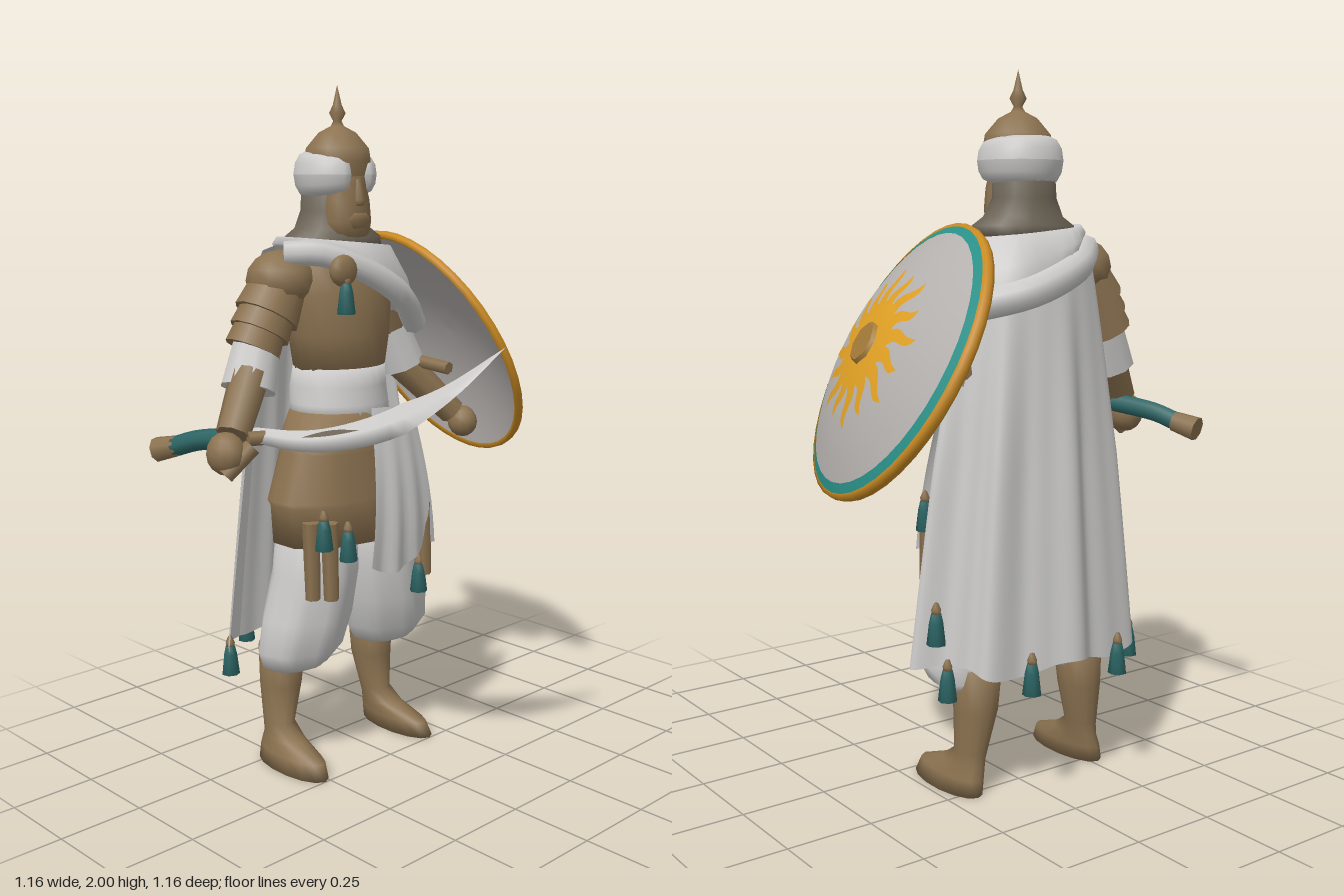
import * as THREE from 'three';

const V = (p) => new THREE.Vector3(...p);
const mat = (name, color) => {
  const m = new THREE.MeshStandardMaterial({ color, side: THREE.DoubleSide });
  m.name = name;
  return m;
};

export function createModel() {
  const brown = mat('leather brown', 0x8b7250);
  const cloth = mat('pale grey', 0xcbcac9);
  const mail = mat('grey mail', 0x6c6456);
  const steel = mat('shield grey', 0xb6b2af);
  const gold = mat('gold', 0xe0a024);
  const rimGold = mat('rim gold', 0xc98a22);
  const teal = mat('bright teal', 0x2a9088);
  const darkTeal = mat('dark teal', 0x2c6464);
  const bronze = mat('bronze', 0xa47a38);

  const model = new THREE.Group();
  model.name = 'warrior';
  const add = (name, geo, m, parent = model) => {
    const mesh = new THREE.Mesh(geo, m);
    mesh.name = name;
    parent.add(mesh);
    return mesh;
  };
  const build = (pos, idx) => {
    const g = new THREE.BufferGeometry();
    g.setAttribute('position', new THREE.Float32BufferAttribute(pos, 3));
    g.setIndex(idx);
    g.computeVertexNormals();
    return g;
  };

  // Closed elliptical rings, top to bottom: [cx, y, cz, rx, rz, fold depth, sideways tilt]
  const loft = (name, m, rings, seg = 20, folds = 8, parent = model) => {
    const pos = [], idx = [], n = rings.length;
    for (const [cx, y, cz, rx, rz, amp = 0, tilt = 0] of rings)
      for (let j = 0; j < seg; j++) {
        const a = (j / seg) * Math.PI * 2, r = 1 + amp * Math.cos(folds * a);
        const x = rx * r * Math.sin(a);
        pos.push(cx + x, y - tilt * x, cz + rz * r * Math.cos(a));
      }
    for (let i = 0; i < n - 1; i++)
      for (let j = 0; j < seg; j++) {
        const k = (j + 1) % seg, a = i * seg + j, d = i * seg + k;
        idx.push(a, a + seg, d + seg, a, d + seg, d);
      }
    const c = n * seg, last = rings[n - 1];
    pos.push(...rings[0].slice(0, 3), ...last.slice(0, 3));
    for (let j = 0; j < seg; j++) {
      const k = (j + 1) % seg, b = (n - 1) * seg;
      idx.push(c, j, k, c + 1, b + k, b + j);
    }
    return add(name, build(pos, idx), m, parent);
  };

  // Open sheet from a function of u and v
  const sheet = (name, m, nu, nv, f, parent = model) => {
    const pos = [], idx = [];
    for (let i = 0; i <= nv; i++) for (let j = 0; j <= nu; j++) pos.push(...f(j / nu, i / nv));
    for (let i = 0; i < nv; i++)
      for (let j = 0; j < nu; j++) {
        const a = i * (nu + 1) + j, b = a + nu + 1;
        idx.push(a, b, b + 1, a, b + 1, a + 1);
      }
    return add(name, build(pos, idx), m, parent);
  };

  const rod = (name, m, p, q, rp, rq, seg = 10) => {
    const a = V(p), d = V(q).sub(a);
    const mesh = add(name, new THREE.CylinderGeometry(rq, rp, d.length(), seg), m);
    mesh.position.copy(a).addScaledVector(d, 0.5);
    mesh.quaternion.setFromUnitVectors(V([0, 1, 0]), d.normalize());
    return mesh;
  };
  const ball = (name, m, p, s) => {
    const mesh = add(name, new THREE.SphereGeometry(1, 12, 8), m);
    mesh.position.set(...p);
    mesh.scale.set(...s);
    return mesh;
  };
  const tube = (name, m, pts, r) => add(name,
    new THREE.TubeGeometry(new THREE.CatmullRomCurve3(pts.map(V)), 16, r, 8), m);

  // Boots and baggy trousers
  for (const [side, c, p, out] of [['right', -0.232, -0.17, -1], ['left', 0.138, 0.088, 1]]) {
    loft(side + 'Boot', brown, [
      [c, 0.36, -0.232, 0.067, 0.078], [c + out * 0.005, 0.24, -0.235, 0.06, 0.068],
      [c + out * 0.018, 0.12, -0.23, 0.044, 0.052], [c + out * 0.022, 0.08, -0.2, 0.046, 0.082],
      [c + out * 0.03, 0.045, -0.155, 0.052, 0.135], [c + out * 0.036, 0, -0.145, 0.057, 0.145]], 14);
    loft(side + 'Trouser', cloth, [
      [p + out * -0.01, 0.78, -0.15, 0.115, 0.12], [p, 0.6, -0.15, 0.13, 0.125, 0.03],
      [p + out * 0.03, 0.47, -0.155, 0.138, 0.122, 0.045], [p + out * 0.05, 0.37, -0.165, 0.132, 0.11, 0.05],
      [p + out * 0.055, 0.32, -0.18, 0.105, 0.09, 0.04], [p + out * 0.06, 0.3, -0.2, 0.07, 0.07]], 28, 7);
  }

  // Torso, sash and layered skirt
  loft('chest', brown, [
    [-0.06, 1.56, -0.18, 0.08, 0.07], [-0.06, 1.52, -0.18, 0.17, 0.11], [-0.06, 1.42, -0.17, 0.185, 0.14],
    [-0.055, 1.3, -0.16, 0.16, 0.135], [-0.055, 1.18, -0.16, 0.142, 0.12]]);
  loft('sash', cloth, [
    [-0.056, 1.205, -0.16, 0.143, 0.128], [-0.06, 1.15, -0.16, 0.148, 0.135, 0.015],
    [-0.062, 1.1, -0.155, 0.153, 0.138], [-0.064, 1.05, -0.15, 0.157, 0.14]], 24, 6);
  loft('skirt', brown, [
    [-0.065, 1.08, -0.15, 0.155, 0.135], [-0.065, 0.98, -0.145, 0.212, 0.15], [-0.065, 0.965, -0.145, 0.204, 0.144],
    [-0.06, 0.83, -0.14, 0.262, 0.155, 0.02], [-0.06, 0.815, -0.14, 0.252, 0.148, 0.02],
    [-0.06, 0.7, -0.135, 0.245, 0.15, 0.03]], 30, 10);
  sheet('tabard', cloth, 16, 10, (u, v) => {
    const s = u - 0.5, fold = 0.008 * v * Math.cos(u * 19);
    return [0.015 + 0.025 * v + s * (0.165 + 0.1 * v), 1.09 - 0.47 * v - 0.03 * Math.sin(u * 5) * v,
      0.006 + 0.03 * Math.sin(v * 2.4) - s * s * 0.07 + fold];
  });
  for (const [x, z] of [[-0.27, -0.05], [-0.235, -0.01], [0.14, 0], [0.195, -0.13]])
    rod('hangingStrap', brown, [x, 0.78, z], [x + 0.005, 0.55, z], 0.026, 0.022, 6);

  // Cape with deep vertical folds, fuller on the left
  sheet('cape', cloth, 96, 14, (u, v) => {
    const s = (u - 0.5) * 2, a = s * (1.75 - 0.3 * Math.min(1, v * 2)), k = Math.pow(v, 0.8);
    const f = 1 + 0.065 * Math.min(1, v * 2) * (Math.cos(a * 9) + 0.4 * Math.cos(a * 17 + 1));
    return [-0.06 + (0.2 + (0.165 + 0.02 * Math.max(0, s)) * k) * f * Math.sin(a),
      1.5 - 1.13 * v + v * (0.03 * Math.abs(s) ** 3 + 0.015 * Math.cos(a * 6)),
      -0.19 - (0.15 + 0.07 * k) * f * Math.cos(a)];
  });

  // Shoulder wrap, falling lower over the left shoulder
  loft('shoulderWrap', cloth, [
    [-0.06, 1.545, -0.18, 0.14, 0.1, 0, 0.05], [-0.055, 1.562, -0.18, 0.185, 0.135, 0.02, 0.1],
    [-0.03, 1.5, -0.18, 0.22, 0.165, 0.025, 0.28], [-0.005, 1.45, -0.185, 0.23, 0.172, 0.03, 0.45],
    [0, 1.425, -0.185, 0.225, 0.168, 0.03, 0.5], [0, 1.42, -0.18, 0.19, 0.14, 0.02, 0.5]], 32, 7);
  tube('frontFold', cloth, [[-0.27, 1.535, -0.15], [-0.19, 1.535, -0.08], [-0.08, 1.49, -0.03], [0.06, 1.41, -0.02], [0.19, 1.31, -0.09]], 0.036);
  tube('backFold', cloth, [[-0.25, 1.51, -0.22], [-0.12, 1.46, -0.33], [0.04, 1.4, -0.345], [0.21, 1.35, -0.22]], 0.045);
  ball('brooch', brown, [-0.165, 1.49, -0.02], [0.048, 0.045, 0.025]);

  // Head: mail curtain, face, helmet and turban
  loft('mailCurtain', mail, [
    [-0.06, 1.74, -0.18, 0.088, 0.085], [-0.06, 1.65, -0.185, 0.092, 0.085],
    [-0.06, 1.6, -0.18, 0.12, 0.095], [-0.06, 1.575, -0.18, 0.16, 0.112], [-0.06, 1.54, -0.18, 0.165, 0.115]]);
  loft('face', brown, [
    [-0.06, 1.8, -0.13, 0.06, 0.065], [-0.06, 1.72, -0.125, 0.062, 0.062], [-0.06, 1.68, -0.118, 0.072, 0.058],
    [-0.06, 1.62, -0.115, 0.076, 0.058], [-0.06, 1.57, -0.115, 0.07, 0.045]], 12);
  loft('nose', brown, [[-0.06, 1.74, -0.072, 0.012, 0.012], [-0.06, 1.68, -0.065, 0.02, 0.014], [-0.06, 1.665, -0.068, 0.016, 0.012]], 6);
  loft('moustache', brown, [[-0.06, 1.645, -0.07, 0.03, 0.012], [-0.06, 1.625, -0.066, 0.045, 0.014], [-0.06, 1.6, -0.075, 0.03, 0.012]], 8);
  const helmet = add('helmet', new THREE.LatheGeometry([
    [0.09, 1.74], [0.098, 1.79], [0.092, 1.825], [0.055, 1.868], [0.02, 1.886], [0.012, 1.9],
    [0.024, 1.922], [0.013, 1.945], [0, 2]].map((p) => new THREE.Vector2(...p)), 12), brown);
  helmet.position.set(-0.06, 0, -0.155);
  sheet('turban', cloth, 12, 36, (u, v) => {
    const a = 0.2 + v * (Math.PI * 2 - 0.4), t = u * Math.PI * 2;
    const e = Math.pow(Math.max(0, Math.sin(Math.PI * v)), 0.18), r = 0.086 + 0.037 * e * Math.cos(t);
    return [-0.06 + r * Math.sin(a), 1.752 + 0.066 * e * Math.sin(t), -0.162 + r * Math.cos(a)];
  });

  // Right arm: overlapping shoulder plates, loose sleeve, bracer and fist
  ball('rightShoulder', brown, [-0.25, 1.46, -0.19], [0.1, 0.085, 0.1]);
  for (let i = 0; i < 3; i++)
    rod('rightShoulderPlate', brown, [-0.305 - i * 0.026, 1.36 - i * 0.045, -0.19],
      [-0.245 - i * 0.03, 1.46 - i * 0.045, -0.19], 0.095 - i * 0.007, 0.08 - i * 0.006, 12);
  rod('rightSleeve', cloth, [-0.395, 1.165, -0.165], [-0.335, 1.31, -0.19], 0.08, 0.066);
  rod('rightBracer', brown, [-0.495, 1.06, -0.11], [-0.395, 1.21, -0.155], 0.048, 0.056, 8);
  ball('rightFist', brown, [-0.52, 1.01, -0.11], [0.052, 0.06, 0.06]);
  rod('rightThumb', brown, [-0.54, 0.955, -0.09], [-0.47, 1.03, -0.06], 0.024, 0.026, 7);

  // Left arm behind the shield
  ball('leftShoulder', cloth, [0.13, 1.42, -0.19], [0.09, 0.09, 0.1]);
  rod('leftUpperArm', brown, [0.215, 1.2, -0.21], [0.14, 1.42, -0.19], 0.06, 0.075);
  rod('leftSleeve', cloth, [0.235, 1.17, -0.19], [0.185, 1.29, -0.2], 0.075, 0.066);
  rod('leftBracer', brown, [0.375, 1.01, -0.1], [0.23, 1.18, -0.19], 0.042, 0.054, 8);
  ball('leftFist', brown, [0.405, 0.98, -0.085], [0.045, 0.05, 0.05]);
  rod('shieldHandle', brown, [0.25, 1.2, -0.34], [0.27, 1.17, -0.02], 0.02, 0.02, 6);

  // Curved sword
  tube('swordGrip', darkTeal, [[-0.535, 1.0, -0.325], [-0.51, 1.025, -0.25], [-0.465, 1.045, -0.12]], 0.029);
  rod('swordPommel', brown, [-0.553, 0.985, -0.385], [-0.53, 1.003, -0.315], 0.036, 0.03, 8);
  rod('swordGuard', brown, [-0.475, 1.05, -0.07], [-0.415, 1.05, -0.045], 0.02, 0.02, 6);
  const path = new THREE.CatmullRomCurve3([[-0.44, 1.055, -0.1], [-0.425, 1.06, 0.08], [-0.4, 1.085, 0.22],
    [-0.355, 1.135, 0.36], [-0.285, 1.215, 0.48], [-0.17, 1.335, 0.58]].map(V));
  // Point on the blade: along v, sideways by across, off the face by out
  const onBlade = (v, across, out) => {
    const t = path.getTangent(v), w = V([0.65, 0.7, 0]);
    w.addScaledVector(t, -w.dot(t)).normalize();
    return path.getPoint(v).addScaledVector(w, across).addScaledVector(t.clone().cross(w), out).toArray();
  };
  sheet('blade', cloth, 4, 20, (u, v) => {
    const a = u * Math.PI * 2, half = v < 0.65 ? 0.022 + 0.034 * v / 0.65 : 0.056 * (1 - v) / 0.35;
    return onBlade(v, Math.cos(a) * half, Math.sin(a) * 0.009 * (1 - v));
  });
  for (const side of [-1, 1])
    sheet('bladeInlay', mail, 1, 8, (u, v) =>
      onBlade(0.22 + v * 0.26, 0.005 + u * 0.018 * Math.sin(Math.PI * v), side * 0.009));

  // Domed round shield
  const shield = new THREE.Group();
  shield.name = 'shield';
  shield.position.set(0.37, 1.228, -0.188);
  shield.quaternion.setFromUnitVectors(V([0, 1, 0]), V([0.858, 0.465, 0.17]).normalize());
  model.add(shield);
  const R = 0.398, dome = (r) => 0.095 * (1 - (r / R) ** 2);
  const disc = (name, m, r0, r1, lift) => add(name, new THREE.LatheGeometry(
    Array.from({ length: 8 }, (_, i) => {
      const r = r0 + ((r1 - r0) * i) / 7;
      return new THREE.Vector2(r, dome(r) + lift);
    }), 40), m, shield);
  disc('shieldFace', steel, 0.364, 0, 0);
  disc('shieldBand', teal, 0.391, 0.362, 0.001);
  disc('shieldBack', steel, 0, 0.389, -0.018);
  add('shieldRim', new THREE.LatheGeometry([[0.382, -0.016], [0.395, -0.024], [0.4, -0.012], [0.399, 0.003],
    [0.387, 0.007]].map((p) => new THREE.Vector2(...p)), 40), rimGold, shield);

  // Sun emblem with wavy rays and a flat boss
  disc('sunDisc', gold, 0.125, 0, 0.004);
  for (let i = 0; i < 16; i++)
    sheet('sunRay', gold, 2, 8, (u, v) => {
      const r = 0.115 + v * (i % 2 ? 0.1 : 0.12);
      const side = (u - 0.5) * 0.045 * (1 - v) ** 0.5 + 0.01 * Math.sin(v * 6);
      const a = (i / 16) * Math.PI * 2 + side / r;
      return [r * Math.sin(a), dome(r) + 0.004, r * Math.cos(a)];
    }, shield);
  add('shieldBoss', new THREE.CylinderGeometry(0.054, 0.064, 0.014, 8), bronze, shield).position.y = 0.1;

  // Tassels on the cape, skirt and brooch
  for (const [x, y, z] of [[-0.4, 0.34, -0.27], [0.27, 0.34, -0.28], [0.3, 0.5, -0.27], [-0.22, 0.36, -0.42],
    [0.09, 0.36, -0.42], [0.12, 0.54, 0.0], [-0.27, 0.75, 0.005], [-0.2, 0.71, 0.03], [0.165, 0.75, -0.02],
    [-0.165, 1.41, -0.01]]) {
    const g = new THREE.Group();
    g.name = 'tassel';
    g.position.set(x, y, z);
    model.add(g);
    loft('tasselThreads', darkTeal, [[0, 0.046, 0, 0.014, 0.014], [0, 0.02, 0, 0.02, 0.02], [0, -0.04, 0, 0.027, 0.027]], 7, 1, g);
    loft('tasselKnot', brown, [[0, 0.075, 0, 0.006, 0.006], [0, 0.056, 0, 0.014, 0.014], [0, 0.044, 0, 0.012, 0.012]], 7, 1, g);
  }
  return model;
}
